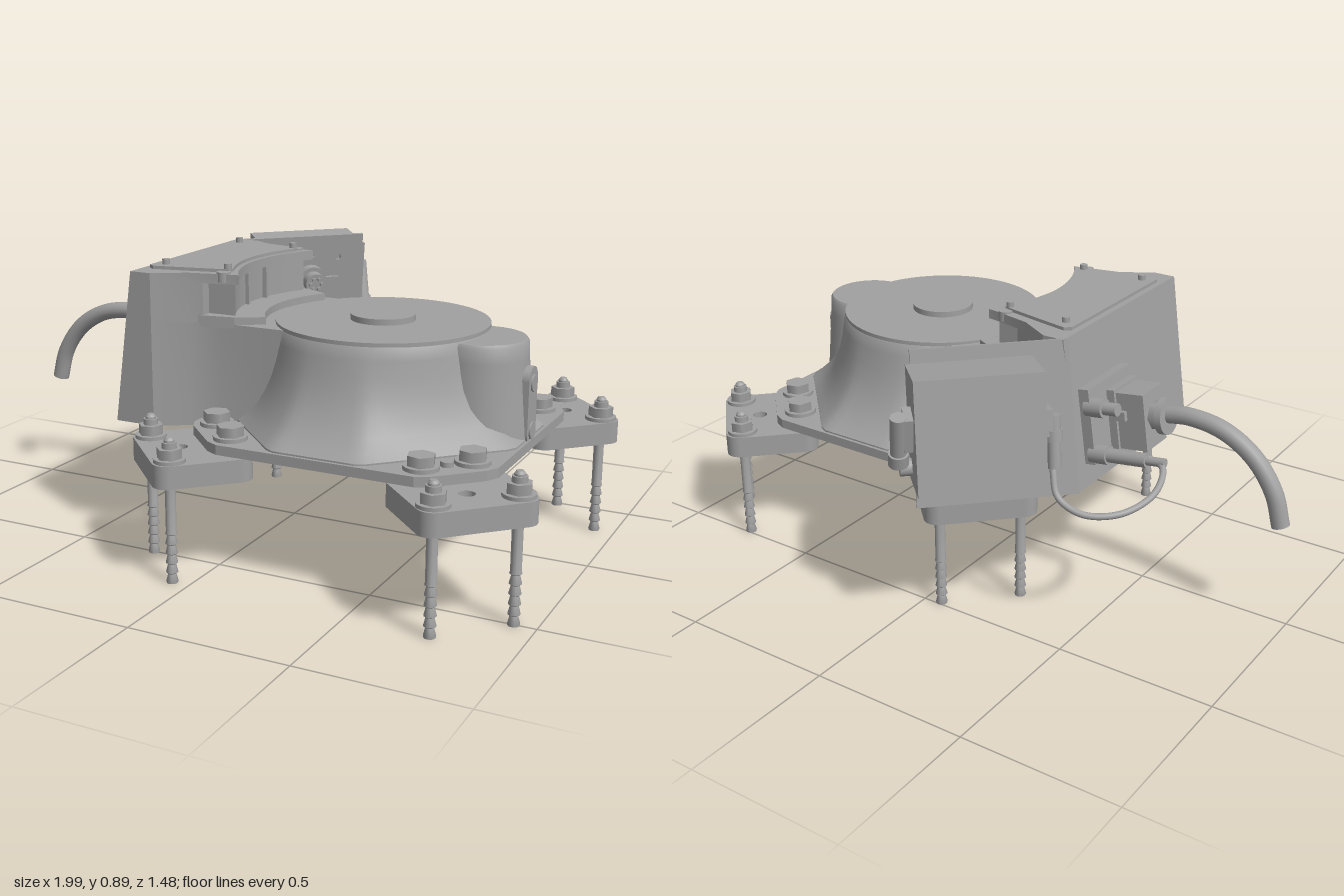
import * as THREE from 'three';
import { toCreasedNormals } from 'three/addons/utils/BufferGeometryUtils.js';

const CX = 0.35, CZ = 0.09, LEAN = 0.137;
const grey = new THREE.MeshStandardMaterial({ color: 0xa0a0a0 });

export function createModel() {
  const root = new THREE.Group();
  root.name = 'machineBase';

  const add = (parent, name, geo, x = 0, y = 0, z = 0, rx = 0, ry = 0, rz = 0) => {
    const m = new THREE.Mesh(geo, grey);
    m.name = name;
    m.position.set(x, y, z);
    m.rotation.set(rx, ry, rz);
    parent.add(m);
    return m;
  };
  const group = (parent, name, x, y, z) => {
    const g = new THREE.Group();
    g.name = name;
    g.position.set(x, y, z);
    parent.add(g);
    return g;
  };
  const cyl = (r, h, n = 24, r2 = r) => new THREE.CylinderGeometry(r, r2, h, n);
  const box = (w, h, d) => new THREE.BoxGeometry(w, h, d);
  const lathe = (pts, n = 16) => toCreasedNormals(
    new THREE.LatheGeometry(pts.map(p => new THREE.Vector2(...p)), n), 0.6);
  const roundRect = (w, h, r) => {
    const s = new THREE.Shape();
    s.absarc(w / 2 - r, h / 2 - r, r, 0, Math.PI / 2);
    s.absarc(-w / 2 + r, h / 2 - r, r, Math.PI / 2, Math.PI);
    s.absarc(-w / 2 + r, -h / 2 + r, r, Math.PI, Math.PI * 1.5);
    s.absarc(w / 2 - r, -h / 2 + r, r, Math.PI * 1.5, Math.PI * 2);
    return s;
  };
  const hole = (shape, x, y, r) => {
    const p = new THREE.Path();
    p.absarc(x, y, r, 0, Math.PI * 2, true);
    shape.holes.push(p);
  };
  const extrude = (shape, depth) =>
    new THREE.ExtrudeGeometry(shape, { depth, bevelEnabled: false, curveSegments: 12 });
  // Upright prism from a plan outline of [x, z] points
  const prism = (pts, y0, y1) => {
    const s = new THREE.Shape(pts.map(([x, z]) => new THREE.Vector2(x, -z)));
    return extrude(s, y1 - y0).rotateX(-Math.PI / 2).translate(0, y0, 0);
  };
  // Slope the rear wall of a prism towards the top
  const leaned = geo => {
    const p = geo.attributes.position;
    for (let i = 0; i < p.count; i++)
      if (p.getX(i) < -0.38) p.setX(i, -0.405 + (p.getY(i) - 0.39) * LEAN);
    return toCreasedNormals(geo, 0.5);
  };
  // Mirror half an outline about the z centre line
  const mirrored = half => [...half, ...half.map(([x, z]) => [x, 2 * CZ - z]).reverse()];

  // Octagonal flange of the casting
  add(root, 'flange', prism([[0.49, 0.31], [0.47, 0.35], [0.35, 0.47], [0.31, 0.49], [-0.31, 0.49], [-0.35, 0.47],
    [-0.47, 0.35], [-0.49, 0.31], [-0.49, -0.31], [-0.47, -0.35], [-0.35, -0.47], [-0.31, -0.49],
    [0.31, -0.49], [0.35, -0.47], [0.47, -0.35], [0.49, -0.31]].map(([x, z]) => [x + CX, z + CZ]), 0.38, 0.41));

  // Flared casting: round at the top, eight-sided at the foot
  const flare = new THREE.LatheGeometry([[0.48, 0.40], [0.48, 0.415], [0.455, 0.435], [0.42, 0.47], [0.388, 0.52],
    [0.365, 0.57], [0.35, 0.62], [0.338, 0.67], [0.33, 0.705], [0.322, 0.715], [0, 0.715]]
    .map(p => new THREE.Vector2(...p)), 96);
  const fp = flare.attributes.position;
  for (let i = 0; i < fp.count; i++) {
    const x = fp.getX(i), z = fp.getZ(i), r = Math.hypot(x, z);
    if (r <= 0.33) continue;
    const c = Math.abs(x) / r, s = Math.abs(z) / r;
    const edge = Math.min(0.48 / Math.max(c, s), 0.44 / ((c + s) * Math.SQRT1_2));
    const k = (0.33 + (r - 0.33) / 0.15 * (edge - 0.33)) / r;
    fp.setX(i, x * k);
    fp.setZ(i, z * k);
  }
  add(root, 'casting', toCreasedNormals(flare, 0.6), CX, 0, CZ);
  add(root, 'turntable', cyl(0.328, 0.012, 64), CX, 0.715, CZ);
  add(root, 'centreDisc', cyl(0.1, 0.025, 40), CX, 0.727, CZ);

  // Side boss with its inspection plate and plugs
  add(root, 'sideBoss', lathe([[0.165, 0.39], [0.155, 0.5], [0.142, 0.65], [0.14, 0.695], [0.133, 0.705], [0, 0.705]], 40), 0.672, 0, 0.1);
  add(root, 'bossPlate', extrude(roundRect(0.08, 0.24, 0.04), 0.04), 0.795, 0.51, 0.1, 0, Math.PI / 2, 0);
  for (const y of [0.435, 0.58]) add(root, 'bossPlug', cyl(0.026, 0.03), 0.825, y, 0.1, 0, 0, Math.PI / 2);

  // Rear housing: pinched neck, hand recesses and overhanging top
  const side = [[-0.41, 0.43], [-0.27, 0.43], [-0.17, 0.37]];
  const arc = (r, span) => Array.from({ length: 9 }, (_, i) => {
    const a = span * (1 - i / 8);
    return [CX - r * Math.cos(a), CZ + r * Math.sin(a)];
  });
  add(root, 'housingNeck', leaned(prism(mirrored([...side, [-0.08, 0.34], [0.2, 0.34]]), 0.385, 0.712)));
  add(root, 'housingLedge', prism(mirrored([[-0.3, 0.42], [-0.27, 0.425], [-0.17, 0.365], [-0.03, 0.34], ...arc(0.36, 0.6)]), 0.70, 0.735));
  add(root, 'housingRear', leaned(prism(mirrored([...side, [-0.13, 0.355]]), 0.712, 0.84)));
  add(root, 'housingCore', prism(mirrored([[-0.2, 0.32], ...arc(0.45, 0.53)]), 0.71, 0.84));
  add(root, 'housingTop', leaned(prism(mirrored([...side, [-0.03, 0.34], ...arc(0.44, 0.6)]), 0.835, 0.865)));
  add(root, 'cover', prism(mirrored([[-0.32, 0.35], [-0.3, 0.365], [-0.2, 0.345], [-0.06, 0.315], ...arc(0.455, 0.45)]), 0.86, 0.875));
  for (const s of [-1, 1]) {
    add(root, 'coverScrew', cyl(0.012, 0.022, 12), -0.07, 0.88, CZ + s * 0.215);
    add(root, 'coverScrew', cyl(0.012, 0.022, 12), -0.28, 0.88, CZ + s * 0.23);
    add(root, 'liftPoint', cyl(0.022, 0.03, 16), -0.07, 0.855, CZ + s * 0.24);
    add(root, 'panelRib', box(0.02, 0.11, 0.01), -0.093, 0.78, CZ + s * 0.058);
  }
  add(root, 'drainPeg', cyl(0.025, 0.05), -0.2, 0.365, -0.035);

  // Four feet with anchor studs
  const studShape = [[0, 0], [0.017, 0]];
  for (let i = 0; i < 5; i++) {
    const y = 0.005 + i * 0.03;
    studShape.push([0.018, y], [0.012, y + 0.024], [0.018, y + 0.028]);
  }
  studShape.push([0.016, 0.16], [0.016, 0.38], [0.016, 0.44], [0.01, 0.448], [0, 0.448]);
  const studGeo = lathe(studShape);
  const footShape = roundRect(0.3, 0.35, 0.045);
  hole(footShape, 0.036, 0, 0.024);
  const footGeo = extrude(footShape, 0.07).rotateX(-Math.PI / 2);
  for (let i = 0; i < 4; i++) {
    const foot = group(root, 'foot', CX, 0, CZ + 0.005);
    foot.rotation.y = Math.PI / 4 + i * Math.PI / 2;
    add(foot, 'footPlate', footGeo, 0.604, 0.305, 0);
    add(foot, 'locatingPin', cyl(0.019, 0.02, 16), 0.505, 0.415, 0);
    for (const s of [-1, 1]) {
      add(foot, 'anchorStud', studGeo, 0.7, 0, s * 0.125);
      add(foot, 'anchorWasher', cyl(0.048, 0.012), 0.7, 0.38, s * 0.125);
      add(foot, 'anchorNut', cyl(0.038, 0.032, 6), 0.7, 0.4, s * 0.125);
      add(foot, 'anchorLockNut', cyl(0.022, 0.02, 16), 0.7, 0.424, s * 0.125);
      add(foot, 'flangeWasher', cyl(0.052, 0.014), 0.505, 0.415, s * 0.078);
      add(foot, 'flangeBolt', cyl(0.042, 0.032, 6), 0.505, 0.436, s * 0.078);
    }
  }

  // Angled mounting plate carrying the control box
  const wing = group(root, 'controlMount', -0.24, 0.39, -0.43);
  wing.rotation.set(-LEAN, -Math.PI * 0.75, 0, 'YXZ');
  const sheet = new THREE.Shape([[-0.25, 0], [0.24, 0], [0.215, 0.48], [-0.25, 0.48]].map(p => new THREE.Vector2(...p)));
  hole(sheet, 0.12, 0.235, 0.028);
  for (const [x, y] of [[0.09, 0.4], [-0.16, 0.4], [0.07, 0.1], [-0.18, 0.1]]) hole(sheet, x, y, 0.011);
  add(wing, 'mountPlate', extrude(sheet, 0.012), 0, 0, -0.006);
  add(wing, 'controlBox', box(0.37, 0.34, 0.19), -0.08, 0.27, 0.105);
  add(wing, 'socketFlange', extrude(roundRect(0.13, 0.13, 0.03), 0.012), -0.055, 0.33, -0.018, 0, 0, Math.PI / 4);
  add(wing, 'socketBody', cyl(0.05, 0.04), -0.055, 0.33, -0.03, Math.PI / 2);
  add(wing, 'socketRing', cyl(0.036, 0.07), -0.055, 0.33, -0.05, Math.PI / 2);
  add(wing, 'socketLever', box(0.2, 0.014, 0.012), -0.055, 0.33, -0.03);
  for (let i = 0; i < 6; i++)
    add(wing, 'socketPin', cyl(0.007, 0.02, 8), -0.055 + 0.02 * Math.cos(i * Math.PI / 3), 0.33 + 0.02 * Math.sin(i * Math.PI / 3), -0.088, Math.PI / 2);
  // Plugs on both ends of the control box
  add(wing, 'endSocket', box(0.03, 0.11, 0.07), -0.275, 0.28, 0.12, 0.35);
  add(wing, 'endPlug', cyl(0.024, 0.17), -0.305, 0.25, 0.12, 0.4);
  add(wing, 'endPlugCollar', cyl(0.03, 0.04), -0.305, 0.19, 0.095, 0.4);
  add(wing, 'endGland', cyl(0.026, 0.04), -0.28, 0.15, 0.06, 0, 0, Math.PI / 2);
  add(wing, 'cableSocket', box(0.03, 0.08, 0.06), 0.115, 0.28, 0.14);
  add(wing, 'cablePlug', cyl(0.02, 0.16), 0.135, 0.22, 0.15);
  add(wing, 'cablePlugCollar', cyl(0.026, 0.035), 0.135, 0.24, 0.15);

  // Rear connectors on the sloped wall
  const rear = group(root, 'rearConnectors', -0.405, 0.39, 0);
  rear.rotation.z = -LEAN;
  const across = Math.PI / 2;
  add(rear, 'connectorBase', box(0.04, 0.24, 0.25), -0.015, 0.19, -0.075);
  add(rear, 'connectorHood', box(0.13, 0.18, 0.12), -0.095, 0.18, -0.04);
  add(rear, 'hoodFrame', box(0.025, 0.2, 0.14), -0.055, 0.18, -0.04);
  add(rear, 'hoodLatch', box(0.04, 0.03, 0.15), -0.08, 0.2, -0.04);
  add(rear, 'hoseNut', cyl(0.045, 0.04, 6), -0.175, 0.19, -0.04, 0, 0, across);
  add(rear, 'hoseCollar', cyl(0.058, 0.022), -0.2, 0.19, -0.04, 0, 0, across);
  for (const y of [0.1, 0.25]) add(rear, 'smallSocket', cyl(0.03, 0.06), -0.045, y, -0.18, 0, 0, across);
  add(rear, 'smallPlug', cyl(0.022, 0.15), -0.13, 0.1, -0.18, 0, 0, across);
  add(rear, 'smallPlugTail', cyl(0.014, 0.07), -0.23, 0.1, -0.18, 0, 0, across);
  add(rear, 'smallCap', cyl(0.02, 0.06), -0.09, 0.25, -0.18, 0, 0, across);

  // Hose and thin signal cable
  const tube = (pts, n, r) => new THREE.TubeGeometry(
    new THREE.CatmullRomCurve3(pts.map(p => new THREE.Vector3(...p))), n, r, 14);
  add(root, 'hose', tube([[-0.57, 0.61, -0.04], [-0.66, 0.622, -0.04], [-0.77, 0.605, -0.04], [-0.87, 0.545, -0.04],
    [-0.94, 0.45, -0.04], [-0.97, 0.35, -0.04]], 40, 0.028));
  add(root, 'hoseEnd', new THREE.CircleGeometry(0.028, 14), -0.97, 0.35, -0.04, Math.PI / 2, -0.28, 0);
  add(root, 'signalCable', tube([[-0.6, 0.525, -0.18], [-0.65, 0.515, -0.19], [-0.675, 0.475, -0.28], [-0.63, 0.445, -0.39],
    [-0.54, 0.445, -0.455], [-0.46, 0.48, -0.46], [-0.43, 0.55, -0.44]], 48, 0.01));
  return root;
}
